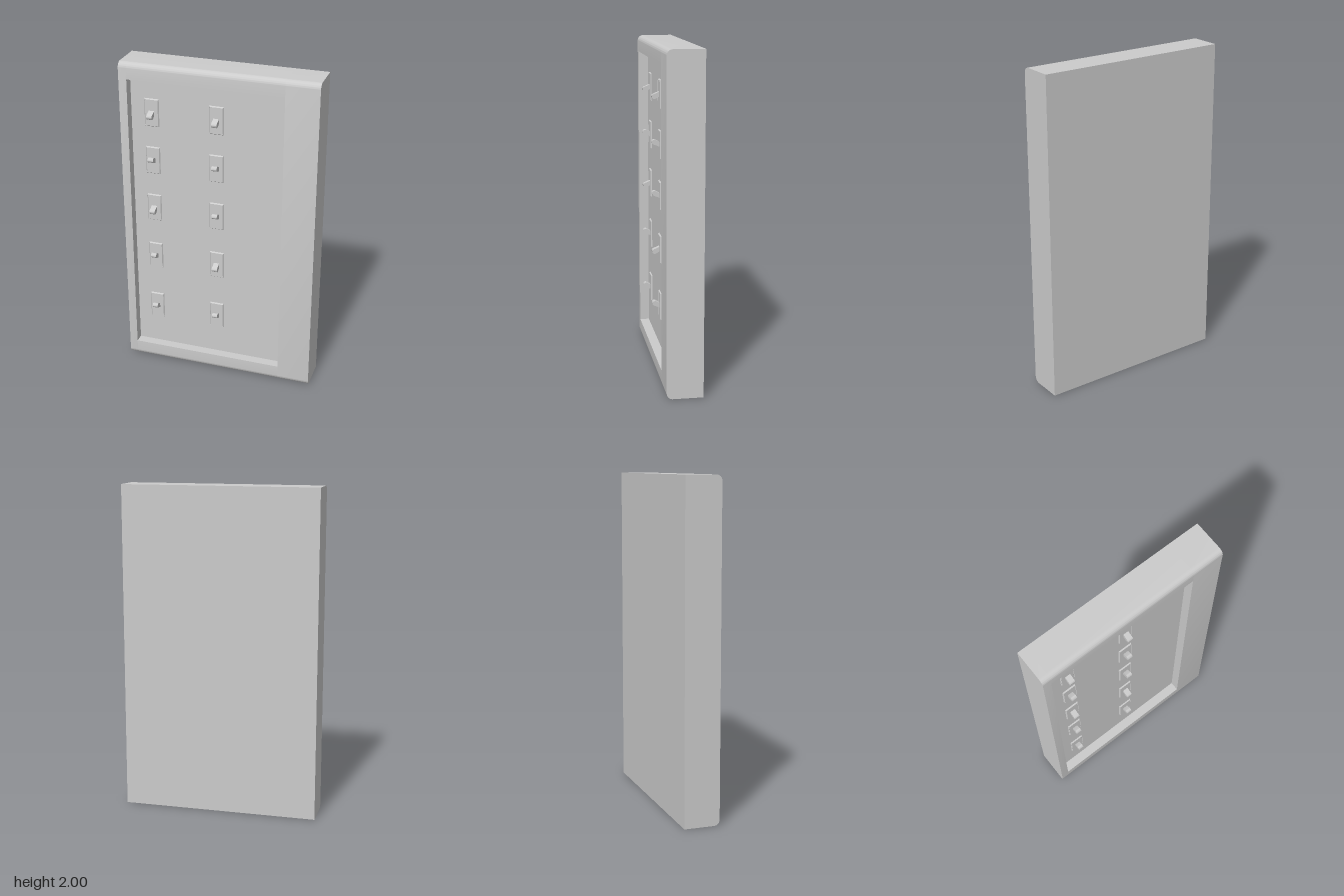
import * as THREE from 'three';
import { toCreasedNormals } from 'three/addons/utils/BufferGeometryUtils.js';

const material = new THREE.MeshStandardMaterial({ color: 0xcccccc });
const BACK = -0.108, FRONT = 0.108, FLOOR = 0.05, R = 0.035;

function addMesh(parent, name, geometry, x = 0, y = 0, z = 0) {
  const mesh = new THREE.Mesh(geometry, material);
  mesh.name = name;
  mesh.position.set(x, y, z);
  parent.add(mesh);
  return mesh;
}

// Side profile (z across, y up) with rounded front edges, optionally notched for the panel recess
function caseSection(x0, x1, recessed) {
  const s = new THREE.Shape();
  s.moveTo(BACK, 0);
  s.lineTo(FRONT - R, 0);
  s.absarc(FRONT - R, R, R, -Math.PI / 2, 0, false);
  if (recessed) {
    s.lineTo(FRONT, 0.1);
    s.lineTo(FLOOR, 0.1);
    s.lineTo(FLOOR, 1.9);
    s.lineTo(FRONT, 1.9);
  }
  s.lineTo(FRONT, 2 - R);
  s.absarc(FRONT - R, 2 - R, R, 0, Math.PI / 2, false);
  s.lineTo(BACK, 2);
  s.closePath();
  const g = new THREE.ExtrudeGeometry(s, { depth: x1 - x0, bevelEnabled: false, curveSegments: 8 });
  g.rotateY(-Math.PI / 2).translate(x1, 0, 0);
  return toCreasedNormals(g, 0.6);
}

function rectangle(path, w, h) {
  path.moveTo(-w / 2, -h / 2);
  path.lineTo(w / 2, -h / 2);
  path.lineTo(w / 2, h / 2);
  path.lineTo(-w / 2, h / 2);
  path.closePath();
  return path;
}

// Sloped rectangular surround with an open centre
function bezelGeometry() {
  const s = rectangle(new THREE.Shape(), 0.095, 0.18);
  s.holes.push(rectangle(new THREE.Path(), 0.07, 0.138));
  return new THREE.ExtrudeGeometry(s, {
    depth: 0.008, bevelEnabled: true, bevelSegments: 1,
    bevelThickness: 0.012, bevelSize: 0.008, bevelOffset: -0.008,
  });
}

// Lever with a rounded tip, its pivot at the origin and pointing along +z
function leverGeometry() {
  const s = new THREE.Shape();
  s.moveTo(-0.015, -0.012);
  s.lineTo(0.035, -0.015);
  s.absarc(0.035, 0, 0.015, -Math.PI / 2, Math.PI / 2, false);
  s.lineTo(-0.015, 0.012);
  s.closePath();
  const g = new THREE.ExtrudeGeometry(s, { depth: 0.034, bevelEnabled: false, curveSegments: 8 });
  g.rotateY(-Math.PI / 2).translate(0.017, 0, 0);
  return toCreasedNormals(g, 0.6);
}

export function createModel() {
  const model = new THREE.Group();
  model.name = 'switchPanel';

  // Case: two full-height side sections and a recessed middle
  addMesh(model, 'caseRightStile', caseSection(-0.6, -0.55, false));
  addMesh(model, 'caseRecessedMiddle', caseSection(-0.55, 0.4, true));
  addMesh(model, 'caseLeftStile', caseSection(0.4, 0.6, false));

  // Toggle switches, each flipped up (1) or down (-1)
  const bezel = bezelGeometry(), lever = leverGeometry();
  const collar = new THREE.BoxGeometry(0.042, 0.075, 0.008);
  const rows = [1.69, 1.385, 1.07, 0.735, 0.37];
  const columns = [
    { x: -0.42, flips: [-1, 1, -1, 1, 1] },
    { x: -0.02, flips: [-1, 1, 1, -1, 1] },
  ];
  for (const { x, flips } of columns) {
    rows.forEach((y, i) => {
      const unit = new THREE.Group();
      unit.name = 'toggleSwitch';
      unit.position.set(x, y, FLOOR);
      addMesh(unit, 'switchBezel', bezel, 0, 0, -0.012);
      addMesh(unit, 'leverCollar', collar, 0, 0, 0.004);
      addMesh(unit, 'switchLever', lever, 0, 0, 0.006).rotation.x = -flips[i] * 0.45;
      model.add(unit);
    });
  }
  return model;
}
